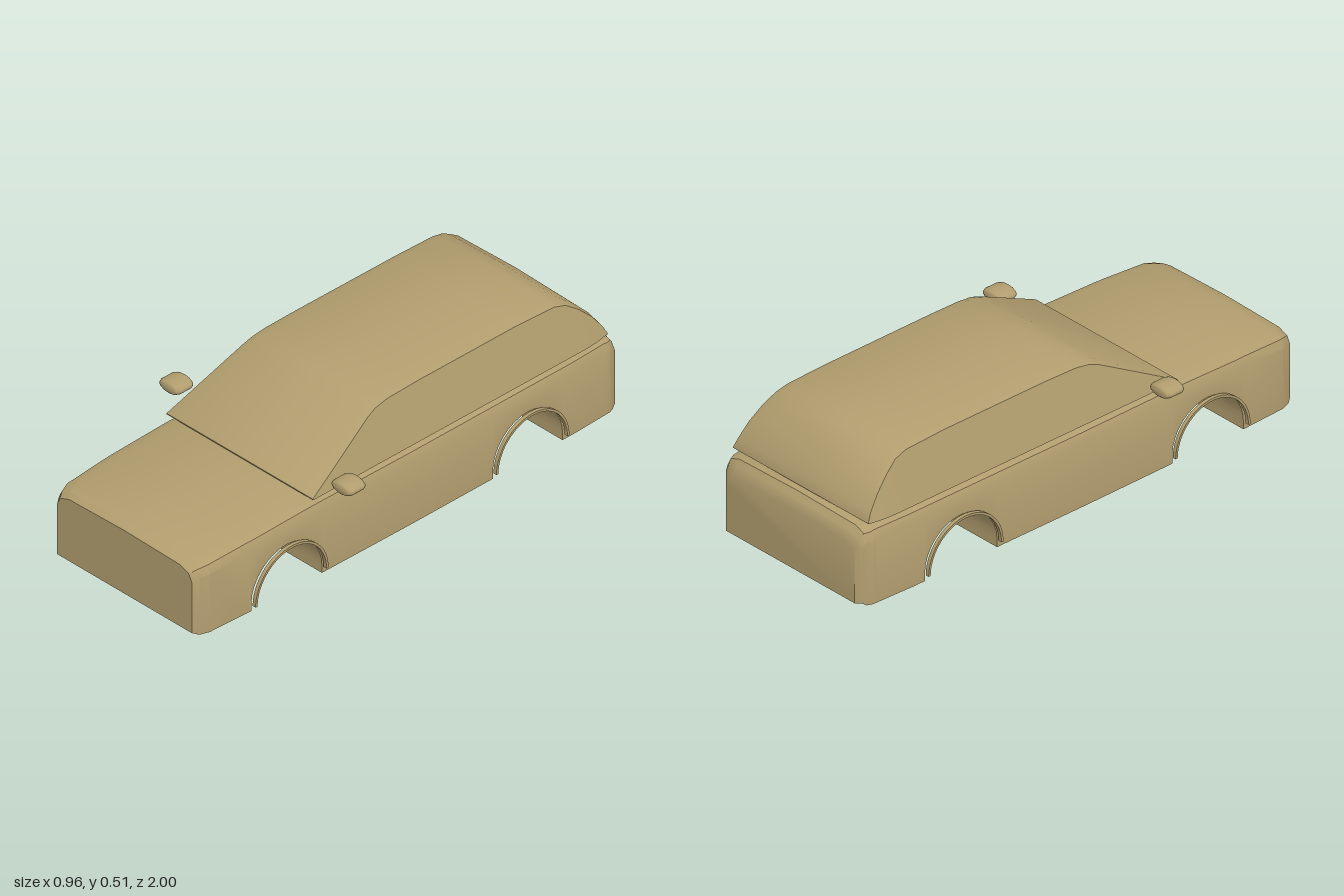
import * as THREE from 'three';
import { toCreasedNormals } from 'three/addons/utils/BufferGeometryUtils.js';

// piecewise linear lookup in rows of [z, value]
function lookup(rows, z) {
  for (let i = 1; i < rows.length; i++) {
    const [z0, v0] = rows[i - 1], [z1, v1] = rows[i];
    if (z <= z1) return v0 + (v1 - v0) * Math.max(0, (z - z0) / (z1 - z0));
  }
  return rows[rows.length - 1][1];
}

// skin over closed sections of [x, y], ordered from rear to front, with end caps
function loft(sections, crease) {
  const n = sections[0].ring.length, pos = [], idx = [];
  for (const { z, ring } of sections) for (const [x, y] of ring) pos.push(x, y, z);
  for (let i = 0; i < sections.length - 1; i++) {
    for (let j = 0; j < n; j++) {
      const a = i * n + j, b = i * n + (j + 1) % n;
      idx.push(a, b, b + n, a, b + n, a + n);
    }
  }
  const last = (sections.length - 1) * n;
  for (let j = 1; j < n - 1; j++) {
    idx.push(0, j + 1, j);
    idx.push(last, last + j, last + j + 1);
  }
  const g = new THREE.BufferGeometry();
  g.setAttribute('position', new THREE.Float32BufferAttribute(pos, 3));
  g.setIndex(idx);
  return toCreasedNormals(g, crease);
}

// complete a right-hand half section (bottom to top) by mirroring it
function mirrored(half, crown) {
  const left = half.map(([x, y]) => [-x, y]).reverse();
  return [left[left.length - 1], ...half, [0, crown], ...left.slice(0, -1)];
}

const ARCHES = [-0.535, 0.567], RADIUS = 0.16, ARCH_Y = 0.03;

function bodyGeometry() {
  const width = [[-0.972, 0.313], [-0.955, 0.332], [-0.92, 0.346], [-0.75, 0.353],
    [0, 0.357], [0.7, 0.353], [0.91, 0.344], [0.945, 0.332], [0.967, 0.318]];
  const top = [[-0.972, 0.235], [-0.962, 0.265], [-0.94, 0.291], [-0.9, 0.296],
    [0.45, 0.297], [0.75, 0.289], [0.91, 0.281], [0.945, 0.274], [0.967, 0.262]];
  const stations = [];
  const plain = (...zs) => zs.forEach(z => stations.push([z, Math.abs(z) > 0.95 ? 0.01 : 0]));
  // wheel openings raise the underside along a half circle
  const arch = c => {
    stations.push([c - RADIUS, 0]);
    for (let i = 0; i <= 16; i++) {
      const a = Math.PI * (1 - i / 16);
      stations.push([c + RADIUS * Math.cos(a), ARCH_Y + RADIUS * Math.sin(a)]);
    }
    stations.push([c + RADIUS, 0]);
  };
  plain(-0.972, -0.962, -0.955, -0.94, -0.92, -0.9, -0.75);
  arch(ARCHES[0]);
  plain(0);
  arch(ARCHES[1]);
  plain(0.75, 0.91, 0.945, 0.967);
  return loft(stations.map(([z, b]) => {
    const w = lookup(width, z), t = lookup(top, z);
    return { z, ring: mirrored([[w, b], [w, t - 0.05], [w - 0.014, t - 0.022], [w - 0.055, t - 0.006]], t) };
  }), 0.5);
}

function cabinGeometry() {
  const base = 0.302;
  const height = [[-0.925, 0.306], [-0.91, 0.34], [-0.87, 0.402], [-0.82, 0.456], [-0.77, 0.491],
    [-0.72, 0.505], [-0.55, 0.511], [-0.1, 0.511], [0.04, 0.508], [0.1, 0.499], [0.14, 0.483], [0.44, 0.306]];
  const width = [[-0.925, 0.33], [-0.85, 0.344], [0.44, 0.347]];
  return loft(height.map(([z, h]) => {
    const w = lookup(width, z), k = Math.min(1, (h - base) / 0.15);
    const side = y => w - (y - base) * 0.32;
    const edge = h - 0.02 * k;
    return { z, ring: mirrored([[w, base], [side(edge), edge], [side(edge) - 0.03 * k, h - 0.008 * k]], h) };
  }), 0.5);
}

// thin half ring around a wheel opening, extruded along x
function archTrimGeometry() {
  const s = new THREE.Shape();
  s.absarc(0, 0, 0.167, 0, Math.PI, false);
  s.absarc(0, 0, 0.158, Math.PI, 0, true);
  const g = new THREE.ExtrudeGeometry(s, { depth: 0.014, bevelEnabled: false, curveSegments: 20 });
  g.translate(0, 0, -0.007);
  g.rotateY(Math.PI / 2);
  return toCreasedNormals(g, 0.5);
}

// oval pod with rounded front and rear rims
function mirrorGeometry() {
  const profile = [[0, -0.043], [0.03, -0.042], [0.043, -0.036], [0.049, -0.024],
    [0.049, 0.024], [0.043, 0.036], [0.03, 0.042], [0, 0.043]];
  const g = new THREE.LatheGeometry(profile.map(([x, y]) => new THREE.Vector2(x, y)), 28);
  g.rotateX(Math.PI / 2);
  g.scale(1, 0.46, 1);
  return g;
}

export function createModel() {
  const paint = new THREE.MeshStandardMaterial({ color: 0xb19d6e });
  paint.name = 'tan paint';
  const car = new THREE.Group();
  car.name = 'carShell';
  const add = (geometry, name, x = 0, y = 0, z = 0) => {
    const m = new THREE.Mesh(geometry, paint);
    m.name = name;
    m.position.set(x, y, z);
    car.add(m);
  };

  add(bodyGeometry(), 'lowerBody');
  add(cabinGeometry(), 'cabin');

  const trim = archTrimGeometry(), pod = mirrorGeometry();
  for (const [side, label] of [[1, 'left'], [-1, 'right']]) {
    add(trim, label + 'RearArchTrim', side * 0.372, ARCH_Y, ARCHES[0]);
    add(trim, label + 'FrontArchTrim', side * 0.372, ARCH_Y, ARCHES[1]);
    add(pod, label + 'SideMirror', side * 0.407, 0.345, 0.336);
  }

  // the whole shell stands turned slightly about the vertical
  car.position.x = 0.02;
  car.rotation.y = -0.119;
  const model = new THREE.Group();
  model.name = 'car';
  model.add(car);
  return model;
}
